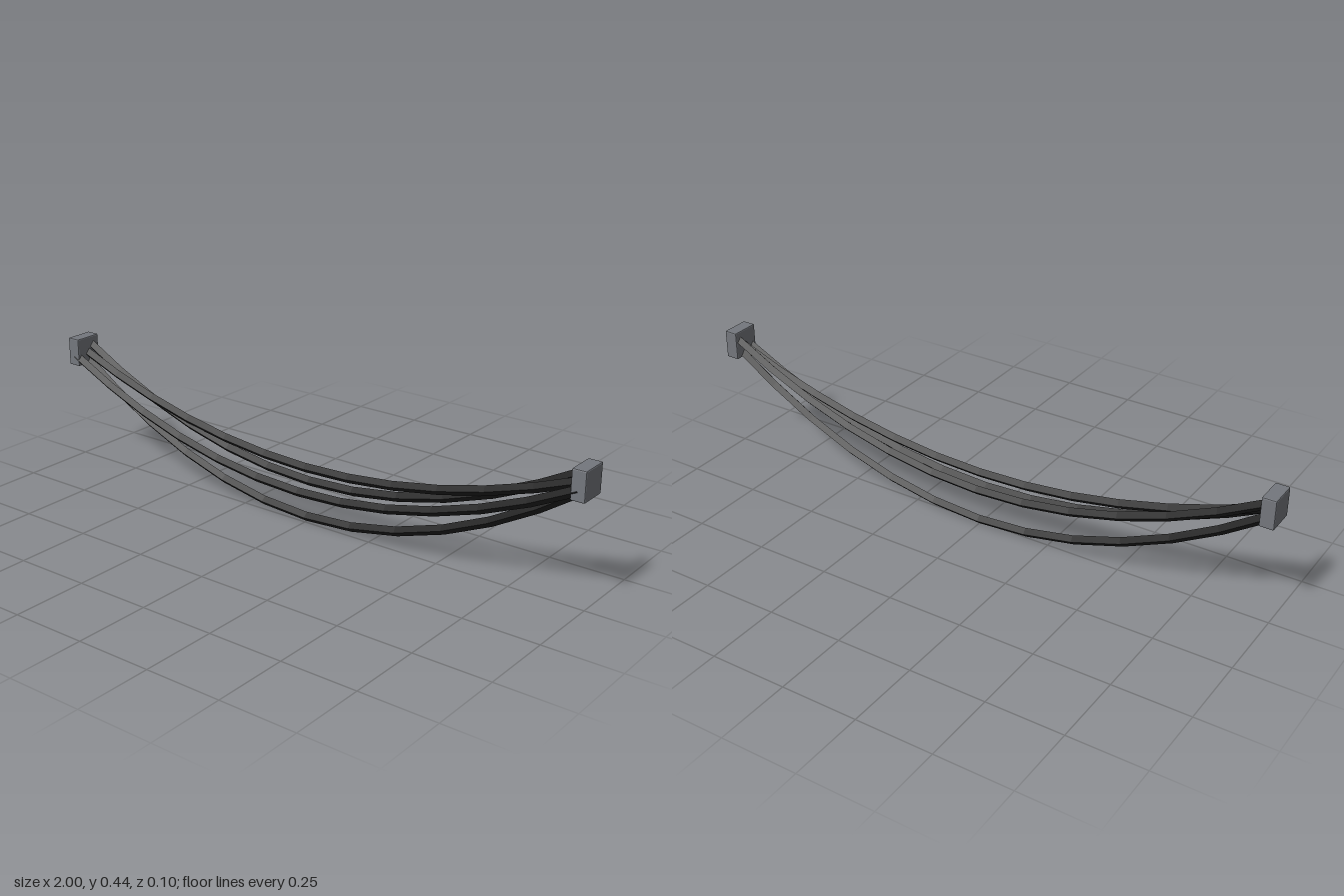
import * as THREE from 'three';
import { RoundedBoxGeometry } from 'three/addons/geometries/RoundedBoxGeometry.js';

const END_X = 0.975;

// Sagging cable: square tube swept along a parabola
function makeCable({ z, endY, midY }, material) {
  const curve = new THREE.QuadraticBezierCurve3(
    new THREE.Vector3(-END_X, endY, z),
    new THREE.Vector3(0, 2 * midY - endY, z),
    new THREE.Vector3(END_X, endY, z)
  );
  return new THREE.Mesh(new THREE.TubeGeometry(curve, 12, 0.016, 4), material);
}

export function createModel() {
  const model = new THREE.Group();
  model.name = 'hangingCables';
  const rubber = new THREE.MeshStandardMaterial({ color: 0x222222, flatShading: true, side: THREE.DoubleSide });
  const metal = new THREE.MeshStandardMaterial({ color: 0x74777d, flatShading: true });

  // Four cables with different sag
  const cables = [
    { z: 0.034, endY: 0.375, midY: 0.116 },
    { z: -0.01, endY: 0.365, midY: 0.016 },
    { z: -0.025, endY: 0.415, midY: 0.134 },
    { z: -0.004, endY: 0.39, midY: 0.187 }
  ];
  cables.forEach((c, i) => {
    const cable = makeCable(c, rubber);
    cable.name = `cable${i + 1}`;
    model.add(cable);
  });

  // Bevelled mounting block at each end
  const blockGeometry = new RoundedBoxGeometry(0.046, 0.096, 0.096, 1, 0.004);
  for (const side of [-1, 1]) {
    const block = new THREE.Mesh(blockGeometry, metal);
    block.name = side > 0 ? 'leftMountBlock' : 'rightMountBlock';
    block.position.set(side * 0.977, 0.393, 0);
    model.add(block);
  }
  return model;
}
